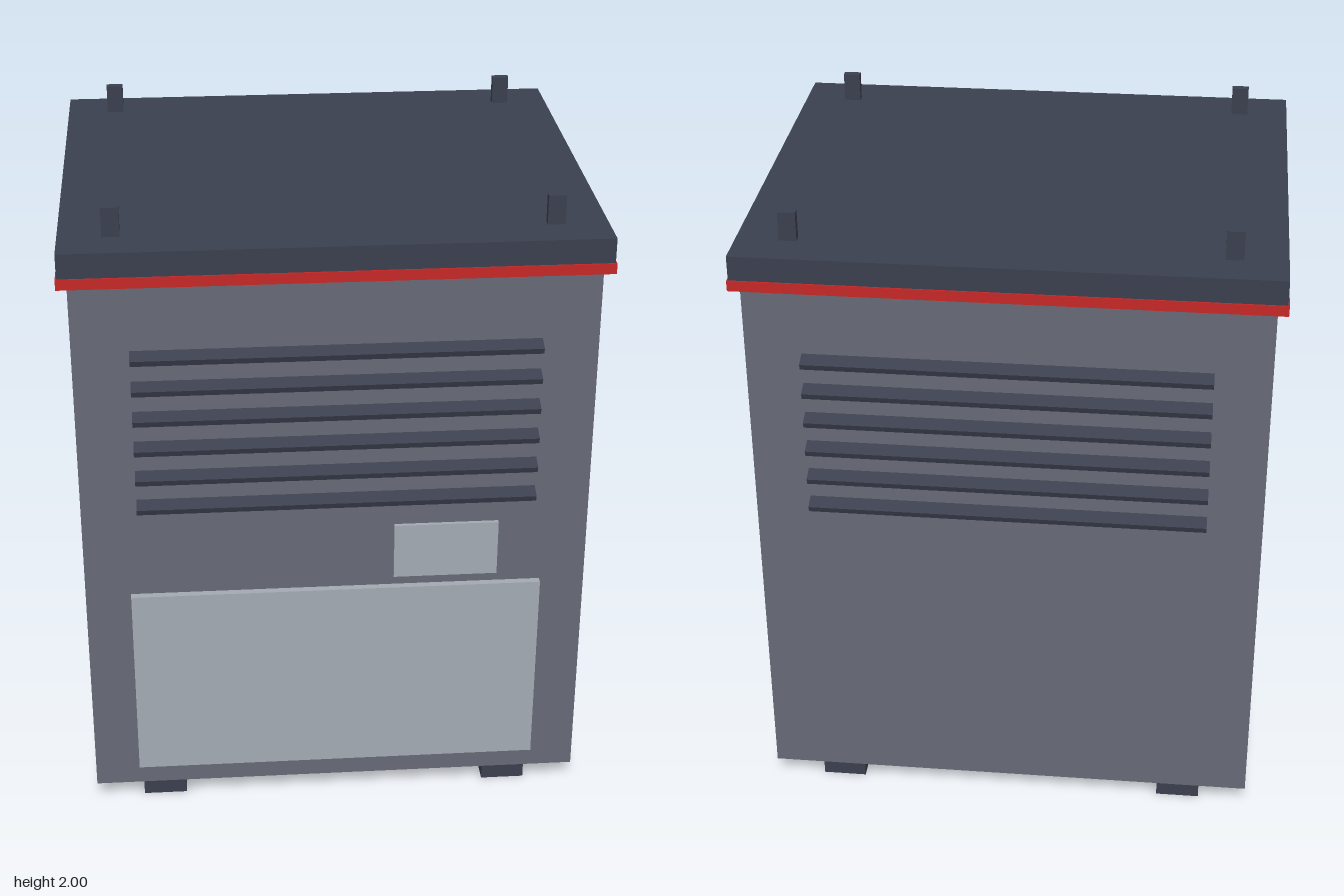
import * as THREE from 'three';

const mat = (name, color) => {
  const m = new THREE.MeshStandardMaterial({ color });
  m.name = name;
  return m;
};

export function createModel() {
  const model = new THREE.Group();
  model.name = 'equipmentCabinet';

  const grey = mat('bodyGrey', 0x676a77);
  const dark = mat('darkSlate', 0x3b404f);
  const red = mat('trimRed', 0xc62828);
  const pale = mat('panelGrey', 0xa3abb3);

  // Box given by its extents on each axis
  const box = (name, material, [x0, x1], [y0, y1], [z0, z1], parent = model) => {
    const mesh = new THREE.Mesh(new THREE.BoxGeometry(x1 - x0, y1 - y0, z1 - z0), material);
    mesh.position.set((x0 + x1) / 2, (y0 + y1) / 2, (z0 + z1) / 2);
    mesh.name = name;
    parent.add(mesh);
    return mesh;
  };

  // Cabinet, red trim and lid
  box('cabinetBody', grey, [-0.765, 0.765], [0.07, 1.81], [-0.645, 0.645]);
  box('redTrim', red, [-0.795, 0.795], [1.805, 1.837], [-0.677, 0.677]);
  box('lid', dark, [-0.791, 0.791], [1.837, 1.912], [-0.672, 0.672]);

  // Front access panel and small plate above it
  box('accessPanel', pale, [-0.627, 0.627], [0.142, 0.778], [0.64, 0.667]);
  box('smallPlate', pale, [0.175, 0.492], [0.81, 0.99], [0.64, 0.657]);

  // Base runners and lifting lugs
  for (const side of [-1, 1]) {
    const x = side * 0.548;
    box('baseRunner', dark, [x - 0.068, x + 0.068], [0, 0.072], [-0.615, 0.615]);
    for (const end of [-1, 1]) {
      const lx = side * 0.638, lz = end * 0.542;
      box('liftingLug', dark, [lx - 0.026, lx + 0.026], [1.9, 2], [lz - 0.012, lz + 0.012]);
    }
  }

  // Louvre slats sloping down and outward, front and back
  for (const [name, turn] of [['frontLouvres', 0], ['backLouvres', Math.PI]]) {
    const louvres = new THREE.Group();
    louvres.name = name;
    louvres.rotation.y = turn;
    for (let i = 0; i < 6; i++) {
      const y = 1.582 - i * 0.0978;
      const slat = box('louvreSlat', dark, [-0.598, 0.598], [y - 0.01, y + 0.01], [0.625, 0.685], louvres);
      slat.rotation.x = 0.35;
    }
    model.add(louvres);
  }

  return model;
}
